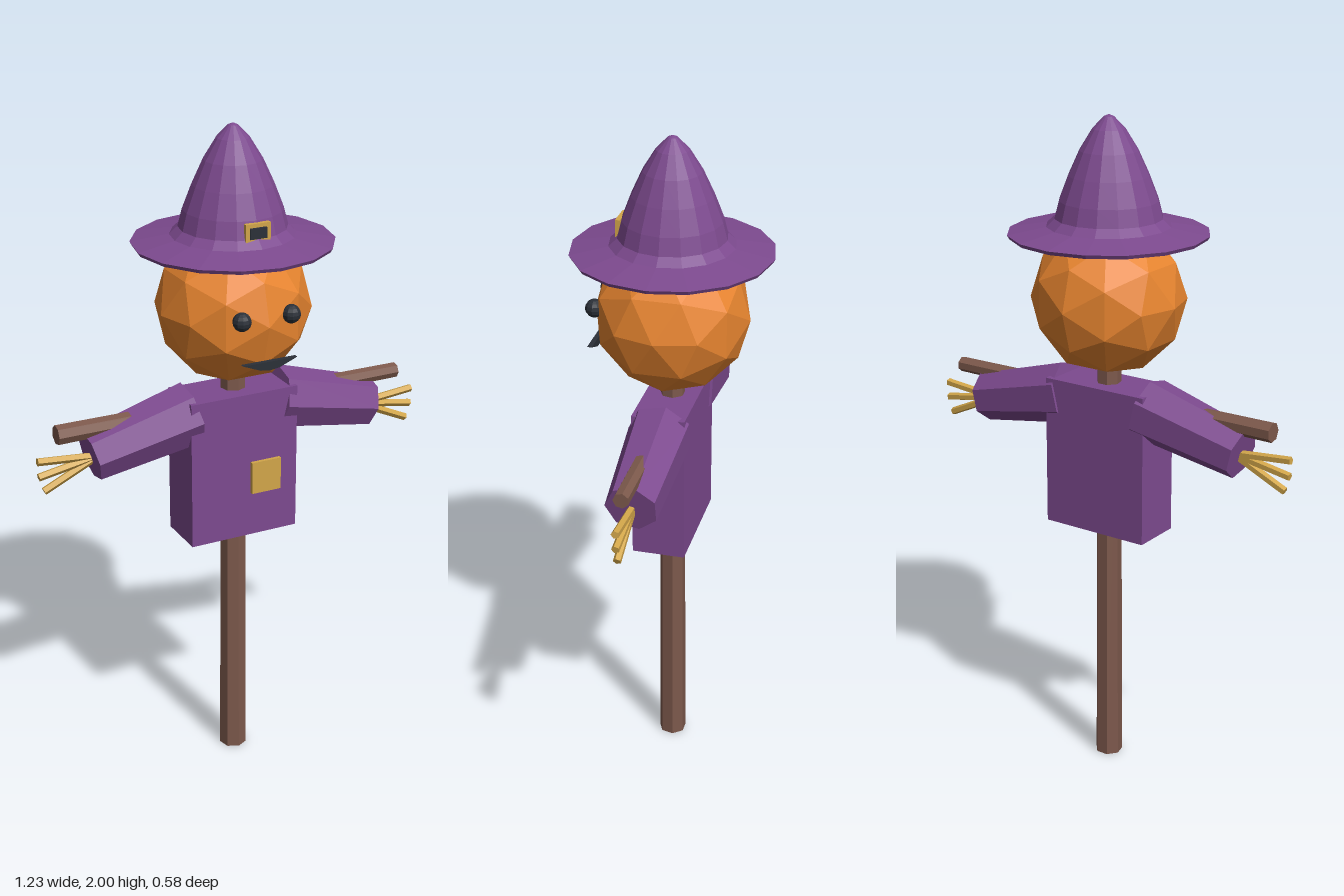
import * as THREE from 'three';

const mat = (color) => new THREE.MeshStandardMaterial({ color, flatShading: true });

export function createModel() {
  const model = new THREE.Group();
  const purple = mat(0x7d4a8f), orange = mat(0xe6842f), wood = mat(0x7d594c);
  const straw = mat(0xd2a64a), dark = mat(0x2b3038);

  const add = (name, geometry, material, x = 0, y = 0, z = 0) => {
    const mesh = new THREE.Mesh(geometry, material);
    mesh.name = name;
    mesh.position.set(x, y, z);
    model.add(mesh);
    return mesh;
  };

  // Tapered stick between two points in the z = 0 plane
  const stick = (name, material, x0, y0, x1, y1, r0, r1, sides) => {
    const dx = x1 - x0, dy = y1 - y0;
    const geo = new THREE.CylinderGeometry(r1, r0, Math.hypot(dx, dy), sides);
    const mesh = add(name, geo, material, (x0 + x1) / 2, (y0 + y1) / 2, 0);
    mesh.rotation.z = Math.atan2(dy, dx) - Math.PI / 2;
    return mesh;
  };

  // Wooden cross
  stick('pole', wood, 0, 0, 0, 1.3, 0.042, 0.036, 7);
  stick('crossbar', wood, -0.555, 1.175, 0.555, 1.175, 0.029, 0.023, 7);

  // Shirt with patch
  add('shirt', new THREE.BoxGeometry(0.344, 0.452, 0.156), purple, 0, 0.995, 0);
  add('patch', new THREE.BoxGeometry(0.095, 0.1, 0.014), straw, 0.067, 0.956, 0.082);

  // Sleeves and straw hands
  for (const s of [-1, 1]) {
    const side = s > 0 ? 'left' : 'right';
    stick(side + 'Sleeve', purple, s * 0.138, 1.165, s * 0.455, 1.092, 0.095, 0.076, 7);
    for (const a of [0.09, -0.17, -0.43]) {
      stick(side + 'HandStraw', straw, s * 0.43, 1.088,
        s * (0.43 + 0.185 * Math.cos(a)), 1.088 + 0.185 * Math.sin(a), 0.012, 0.012, 5);
    }
  }

  // Pumpkin head and face
  add('head', new THREE.IcosahedronGeometry(0.226, 1), orange, 0, 1.476, 0);
  for (const s of [-1, 1]) {
    add(s > 0 ? 'leftEye' : 'rightEye', new THREE.SphereGeometry(0.027, 10, 8), dark, s * 0.077, 1.5, 0.208);
  }
  const smile = new THREE.Shape();
  smile.moveTo(-0.085, 0.013);
  smile.lineTo(-0.03, -0.009);
  smile.lineTo(0, -0.013);
  smile.lineTo(0.03, -0.009);
  smile.lineTo(0.085, 0.013);
  smile.closePath();
  add('mouth', new THREE.ExtrudeGeometry(smile, { depth: 0.014, bevelEnabled: false }), dark, 0, 1.366, 0.217);

  // Pointed hat: closed underside, brim, then curved crown
  const profile = [
    [0, 1.657], [0.285, 1.657], [0.291, 1.668], [0.18, 1.688], [0.156, 1.71], [0.143, 1.76],
    [0.116, 1.83], [0.084, 1.9], [0.047, 1.96], [0.014, 1.994], [0, 2],
  ].map(([x, y]) => new THREE.Vector2(x, y));
  add('hat', new THREE.LatheGeometry(profile, 16), purple);

  // Hat buckle
  const frame = new THREE.Shape();
  const rect = (path, w, h) => {
    path.moveTo(-w, -h);
    path.lineTo(w, -h);
    path.lineTo(w, h);
    path.lineTo(-w, h);
    path.closePath();
    return path;
  };
  rect(frame, 0.038, 0.026);
  frame.holes.push(rect(new THREE.Path(), 0.026, 0.015));
  add('buckleFrame', new THREE.ExtrudeGeometry(frame, { depth: 0.014, bevelEnabled: false }), straw, 0, 1.729, 0.141);
  add('buckleCentre', new THREE.BoxGeometry(0.052, 0.03, 0.016), dark, 0, 1.727, 0.15);

  return model;
}
